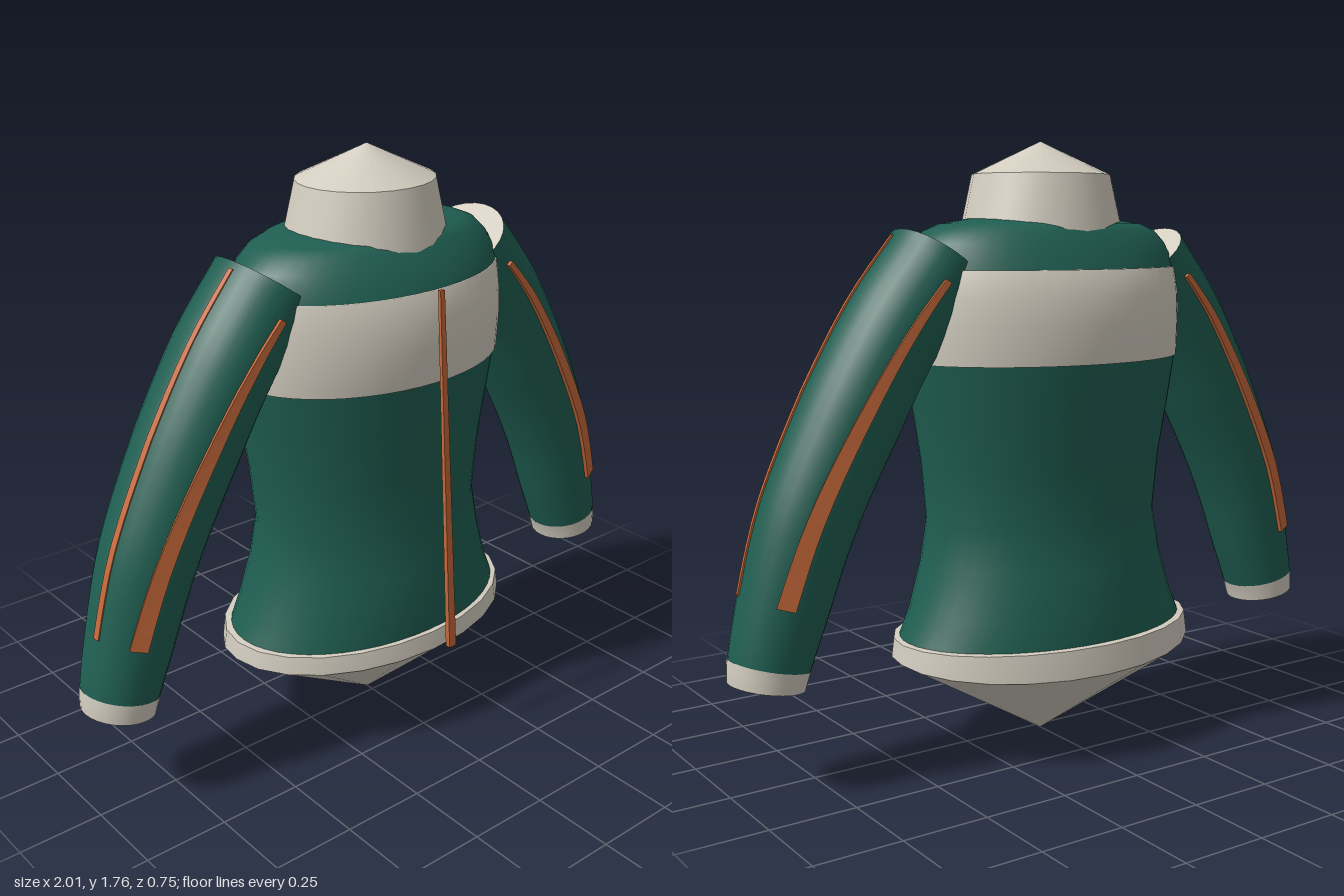
import * as THREE from 'three';

const mat = (name, color, side = THREE.FrontSide) => {
  const m = new THREE.MeshStandardMaterial({ color, side });
  m.name = name;
  return m;
};
const GREEN = mat('deep green', 0x1f5e51);
const CREAM = mat('warm cream', 0xd3cdc0);
const ORANGE = mat('burnt orange', 0xc4683a);

// Skin a list of closed rings (arrays of Vector3 with equal counts)
function loft(rings, { flip = false, flat = false } = {}) {
  const n = rings[0].length, pos = [], idx = [];
  rings.forEach((r) => r.forEach((p) => pos.push(p.x, p.y, p.z)));
  for (let i = 0; i < rings.length - 1; i++) {
    for (let j = 0; j < n; j++) {
      const k = (j + 1) % n;
      const a = i * n + j, b = a + n, c = i * n + k, d = c + n;
      if (flip) idx.push(a, c, b, b, c, d);
      else idx.push(a, b, c, b, d, c);
    }
  }
  let g = new THREE.BufferGeometry();
  g.setAttribute('position', new THREE.Float32BufferAttribute(pos, 3));
  g.setIndex(idx);
  if (flat) g = g.toNonIndexed();
  g.computeVertexNormals();
  return g;
}

// Ring collapsed to its centre, used to close an end
function pinch(ring) {
  const c = new THREE.Vector3();
  ring.forEach((p) => c.add(p));
  c.divideScalar(ring.length);
  return ring.map(() => c.clone());
}

// Horizontal ellipse: height, half width, front z, back z, extra drop at the back
function ellipse([y, rx, front, back, drop = 0], n) {
  const cz = (front + back) / 2, rz = (front - back) / 2;
  return Array.from({ length: n }, (_, j) => {
    const a = (j / n) * Math.PI * 2, s = Math.sin(a);
    return new THREE.Vector3(rx * Math.cos(a), y - drop * Math.max(0, -s), cz + rz * s);
  });
}

// Sleeve stations: centre x, centre y, in-plane radius, depth radius
const STATIONS = [
  [0.36, 1.435, 0.135, 0.16], [0.5, 1.25, 0.142, 0.163], [0.635, 1.02, 0.145, 0.155],
  [0.77, 0.745, 0.138, 0.142], [0.85, 0.5, 0.125, 0.124], [0.89, 0.36, 0.112, 0.113],
  [0.9, 0.305, 0.104, 0.108],
];
const LAST = STATIONS.length - 1;
const SLEEVE_Z = -0.03;
const sleeveCurve = new THREE.CatmullRomCurve3(
  STATIONS.map(([x, y]) => new THREE.Vector3(x, y, SLEEVE_Z)));

// Point on the sleeve at station u and angle a (0 = outer side, PI/2 = front)
function sleevePoint(side, u, a, lift = 0) {
  const i = Math.min(Math.floor(u), LAST - 1), f = u - i;
  const r = (k) => THREE.MathUtils.lerp(STATIONS[i][k], STATIONS[i + 1][k], f) + lift;
  const c = sleeveCurve.getPoint(u / LAST), t = sleeveCurve.getTangent(u / LAST);
  const out = r(2) * Math.cos(a);
  return new THREE.Vector3(side * (c.x - t.y * out), c.y + t.x * out, c.z + r(3) * Math.sin(a));
}

const steps = (from, to, n) =>
  Array.from({ length: n + 1 }, (_, i) => from + ((to - from) * i) / n);

const sleeveRing = (side, u, lift = 0) =>
  Array.from({ length: 28 }, (_, j) => sleevePoint(side, u, (j / 28) * Math.PI * 2, lift));

// Raised strip running along the sleeve, with changing angle and width
function stripe(side, [u0, u1], [a0, a1], [w0, w1], lift) {
  const rings = steps(0, 1, 16).map((f) => {
    const L = THREE.MathUtils.lerp;
    const u = L(u0, u1, f), a = L(a0, a1, f), w = L(w0, w1, f);
    return [[a - w, -0.01], [a - w, lift], [a + w, lift], [a + w, -0.01]]
      .map(([ang, h]) => sleevePoint(side, u, ang, h));
  });
  return loft([pinch(rings[0]), ...rings, pinch(rings[16])], { flip: side > 0, flat: true });
}

export function createModel() {
  const model = new THREE.Group();
  model.name = 'jacket';
  const add = (parent, name, geometry, material) => {
    const m = new THREE.Mesh(geometry, material);
    m.name = name;
    parent.add(m);
  };
  const body = (name, rows, material, n = 48) =>
    add(model, name, loft(rows.map((r) => ellipse(r, n))), material);

  // Torso: waist section, chest band and shoulder yoke
  body('lowerTorso', [
    [0.335, 0.47, 0.27, -0.345], [0.42, 0.43, 0.268, -0.34], [0.55, 0.388, 0.258, -0.322],
    [0.68, 0.37, 0.232, -0.295], [0.85, 0.385, 0.243, -0.31], [1.0, 0.41, 0.258, -0.33],
    [1.15, 0.436, 0.274, -0.345],
  ], GREEN);
  body('chestBand', [
    [1.145, 0.436, 0.274, -0.345], [1.145, 0.441, 0.281, -0.35], [1.25, 0.445, 0.287, -0.352],
    [1.33, 0.445, 0.28, -0.345], [1.405, 0.441, 0.26, -0.322], [1.405, 0.435, 0.25, -0.31],
  ], CREAM);
  body('shoulderYoke', [
    [1.4, 0.44, 0.255, -0.315], [1.44, 0.432, 0.238, -0.298], [1.475, 0.415, 0.213, -0.278],
    [1.51, 0.38, 0.187, -0.255], [1.53, 0.33, 0.166, -0.235], [1.545, 0.23, 0.12, -0.185],
    [1.545, 0, -0.03, -0.03],
  ], GREEN);

  // Hem band with the pointed closure below it
  const hemTop = [0.345, 0.485, 0.285, -0.365], hemLow = [0.29, 0.492, 0.293, -0.375, 0.028];
  body('hemBand', [hemLow, hemTop], CREAM, 24);
  body('hemLedge', [hemTop, [0.348, 0.455, 0.255, -0.335]], CREAM, 24);
  body('hemClosure', [[0, 0, -0.025, -0.025], hemLow], CREAM, 24);

  // Collar with its shallow pointed top
  const collarTop = [1.67, 0.207, 0.16, -0.22];
  body('collar', [[1.5, 0.245, 0.195, -0.258], collarTop], CREAM, 24);
  body('collarTop', [collarTop, [1.765, 0, -0.025, -0.025]], CREAM, 24);

  // Front zip: a slim leaning bar standing off the chest
  const zip = [[0.335, 0.365, 0.013], [1.415, 0.292, 0.008]].map(([y, z, w]) =>
    [[w, -w], [w, w * 0.8], [-w, w * 0.8], [-w, -w]].map(([x, d]) => new THREE.Vector3(x, y, z + d * 0.7)));
  add(model, 'frontZip', loft([pinch(zip[0]), ...zip, pinch(zip[1])], { flat: true }), ORANGE);

  // Sleeves, cuffs and piping, mirrored left and right
  for (const side of [1, -1]) {
    const arm = new THREE.Group();
    arm.name = side > 0 ? 'leftSleeve' : 'rightSleeve';
    model.add(arm);
    const opt = { flip: side > 0 };
    const tube = (u0, u1, n, lift) => steps(u0, u1, n).map((u) => sleeveRing(side, u, lift));
    const shoulder = sleeveRing(side, 0), wrist = sleeveRing(side, LAST, 0.002);
    add(arm, 'sleeve', loft(tube(0, 5, 30, 0), opt), GREEN);
    add(arm, 'shoulderSeam', loft([pinch(shoulder), shoulder], opt), CREAM);
    add(arm, 'cuff', loft(tube(4.97, LAST, 3, 0.002), opt), CREAM);
    add(arm, 'cuffEnd', loft([wrist, pinch(wrist)], opt), CREAM);
    add(arm, 'frontPiping', stripe(side, [0.35, 3.9], [1.5, 1.18], [0.06, 0.19], 0.012), ORANGE);
    add(arm, 'backPiping', stripe(side, [0.35, 3.9], [-1.5, -1.18], [0.06, 0.19], 0.012), ORANGE);
    add(arm, 'outerPiping', stripe(side, [0.1, 3.9], [0.17, 0.2], [0.045, 0.075], 0.004), ORANGE);
  }
  return model;
}
